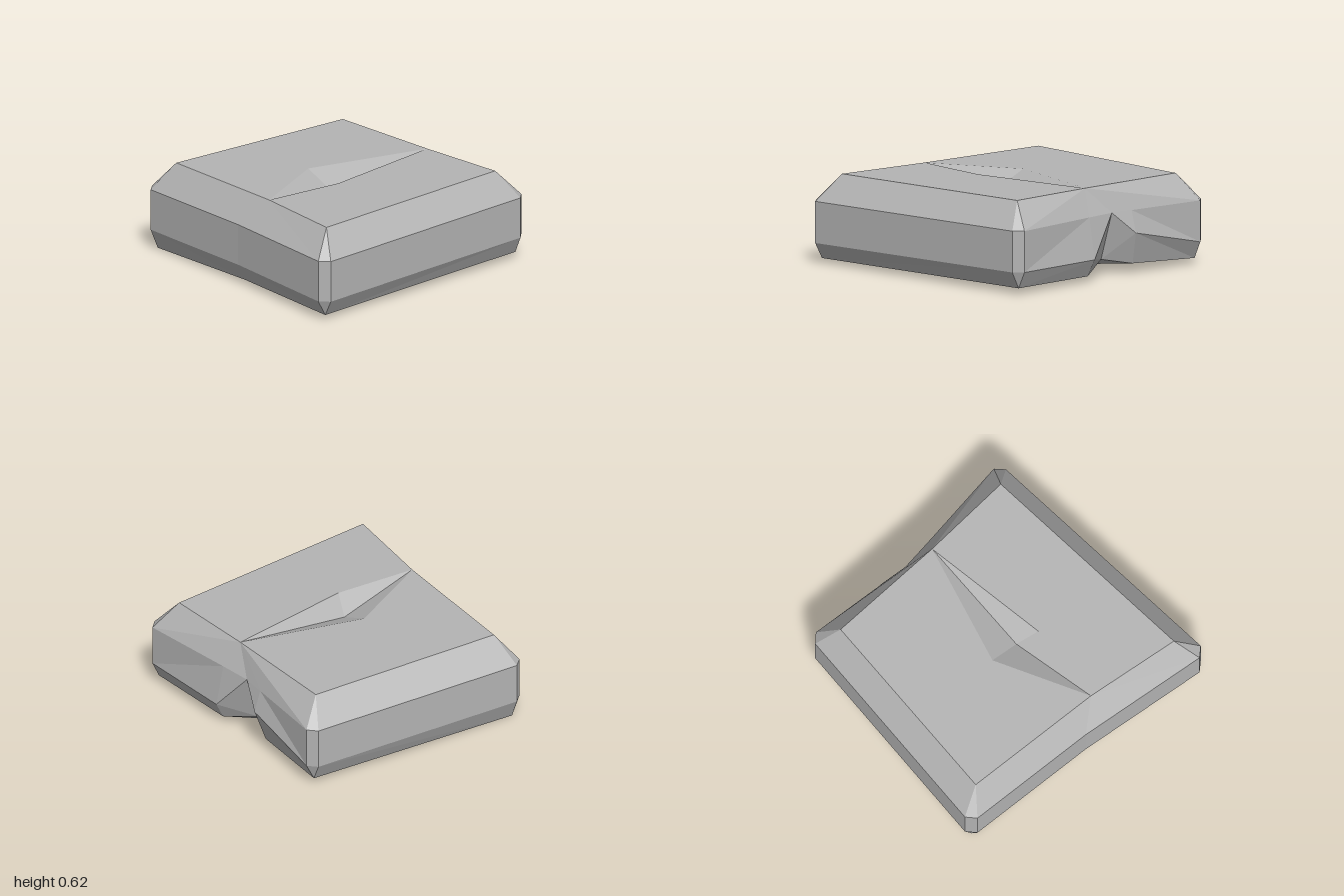
import * as THREE from 'three';

const stone = new THREE.MeshStandardMaterial({ color: 0xb4b4b4 });
stone.name = 'grey stone';
stone.flatShading = true;

// Corners of the top face and of the underside
const rim = {
  fl: [-0.81, 0.605, 0.84], fr: [0.79, 0.62, 0.65], right: [0.725, 0.62, 0],
  br: [0.67, 0.62, -0.84], bl: [-0.76, 0.61, -0.84], left: [-0.76, 0.61, 0.16],
};
const base = {
  fl: [-0.9, 0.03, 0.94], fr: [0.9, 0.045, 0.73], chipFront: [0.825, 0.04, 0.06],
  chip: [0.69, 0.11, -0.17], chipBack: [0.77, 0.07, -0.38],
  br: [0.75, 0.04, -0.94], bl: [-0.84, 0, -0.94], left: [-0.84, 0.02, 0],
};

// Shoulder heights rise slightly to the model's left
const upper = (x, z) => [x, 0.432 + 0.01 * x, z];
const lower = (x, z) => [x, 0.149 + 0.011 * x, z];
const station = (x, z, top, bottom) => [rim[top], upper(x, z), lower(x, z), base[bottom]];

// Stations around the slab, each running from rim to underside
const CHIP = 4;
const stations = [
  station(-0.9, 1, 'fl', 'fl'),
  station(0.9, 0.785, 'fr', 'fr'),
  station(0.955, 0.725, 'fr', 'fr'),
  [rim.right, upper(0.83, 0.05), lower(0.885, 0.05), base.chipFront],
  [rim.right, upper(0.79, -0.18), base.chip, base.chip],
  [rim.right, upper(0.795, -0.35), [0.84, 0.29, -0.35], base.chipBack],
  station(0.81, -0.94, 'br', 'br'),
  station(0.75, -0.995, 'br', 'br'),
  station(-0.84, -1, 'bl', 'bl'),
  station(-0.9, -0.94, 'bl', 'bl'),
  station(-0.9, 0, 'left', 'left'),
  station(-0.96, 0.94, 'fl', 'fl'),
];

function meshFrom(name, triangles) {
  const solid = triangles.filter(([a, b, c]) => a !== b && b !== c && c !== a);
  const geometry = new THREE.BufferGeometry();
  geometry.setAttribute('position', new THREE.Float32BufferAttribute(solid.flat(2), 3));
  geometry.computeVertexNormals();
  const mesh = new THREE.Mesh(geometry, stone);
  mesh.name = name;
  return mesh;
}

// Triangles joining a centre to each step of a path
const fan = (centre, path) => path.slice(1).map((p, i) => [centre, path[i], p]);

export function createModel() {
  const group = new THREE.Group();
  group.name = 'stoneSlab';

  // Bevelled sides, with the diagonals turned towards the chipped edge
  const sides = [];
  stations.forEach((a, i) => {
    const b = stations[(i + 1) % stations.length];
    for (let k = 0; k < 3; k++) {
      if (i < CHIP) sides.push([a[k], a[k + 1], b[k]], [b[k], a[k + 1], b[k + 1]]);
      else sides.push([a[k], a[k + 1], b[k + 1]], [a[k], b[k + 1], b[k]]);
    }
  });
  group.add(meshFrom('sides', sides));

  // Top surface split by a shallow crack
  const frontLip = [-0.18, 0.612, 0.18];
  const backLip = [-0.145, 0.612, -0.19];
  const crackFloor = [-0.13, 0.515, 0.03];
  group.add(meshFrom('top', [
    ...fan(frontLip, [rim.left, rim.fl, rim.fr, rim.right]),
    ...fan(backLip, [rim.right, rim.br, rim.bl, rim.left]),
  ]));
  group.add(meshFrom('crack', fan(crackFloor, [rim.left, frontLip, rim.right, backLip, rim.left])));

  // Underside, meeting where the chip runs out
  const chipEnd = [0.43, 0.034, -0.25];
  const loop = stations.map((s) => s[3]);
  group.add(meshFrom('underside', fan(chipEnd, [...loop, loop[0]].reverse())));

  return group;
}
